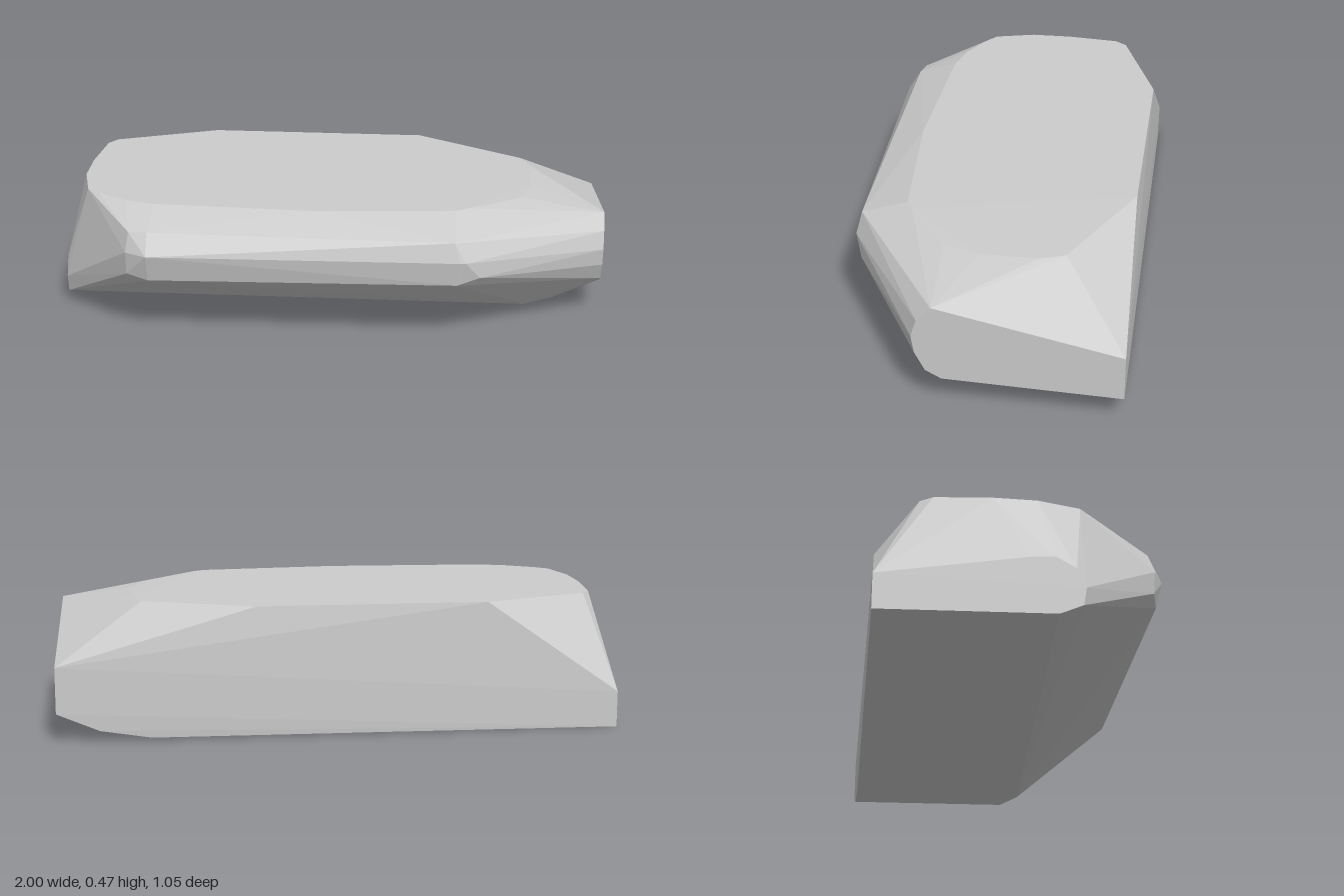
import * as THREE from 'three';
import { ConvexGeometry } from 'three/addons/geometries/ConvexGeometry.js';

export function createModel() {
  const group = new THREE.Group();
  group.name = 'facetedBlock';
  const grey = new THREE.MeshStandardMaterial({ color: 0xcccccc });
  grey.name = 'grey';

  const points = [];
  const add = (list, place) => list.forEach((p) => points.push(new THREE.Vector3(...place(p))));

  // tapered right end, outline as [z, y]
  add([[0.12, 0.405], [0.17, 0.35], [0.19, 0.285], [0.18, 0.22], [0.145, 0.15],
    [0.09, 0.12], [-0.525, 0.105], [-0.525, 0.27]], ([z, y]) => [1, y, z]);

  // lower left end, outline as [z, y]
  add([[-0.495, 0], [-0.495, 0.13], [0.02, 0.215], [0.1, 0.22], [0.17, 0.18],
    [0.2, 0.11], [0.19, 0.045], [0.11, 0.01]], ([z, y]) => [-1, y, z]);

  // flat top outline as [x, z]
  add([[-0.93, -0.3], [-0.9, -0.345], [-0.52, -0.49], [0.3, -0.495], [0.5, 0.28],
    [0.46, 0.305], [-0.05, 0.35], [-0.63, 0.33], [-0.74, 0.3], [-0.85, 0.24],
    [-0.9, 0.2], [-0.94, 0.05], [-0.945, -0.1]], ([x, z]) => [x, 0.466, z]);

  // dropped right rim of the top, as [x, z]
  add([[0.7, -0.29], [0.735, -0.2], [0.735, 0], [0.7, 0.13]], ([x, z]) => [x, 0.456, z]);

  // rounded front nose as [x, y, z]
  add([[-0.63, 0.34, 0.525], [-0.71, 0.34, 0.487], [-0.63, 0.415, 0.478], [-0.7, 0.41, 0.465],
    [-0.63, 0.24, 0.5], [-0.71, 0.255, 0.48], [0.48, 0.34, 0.49], [0.5, 0.34, 0.487],
    [0.46, 0.41, 0.472], [0.47, 0.25, 0.477], [0.55, 0.275, 0.46]], (p) => p);

  // underside, rising towards the right end, as [x, y, z]
  add([[0.67, 0.01, -0.515], [0.85, 0.04, -0.52], [0.7, 0.015, 0.06],
    [0.83, 0.04, 0.09], [0.72, 0.035, 0.15]], (p) => p);

  const body = new THREE.Mesh(new ConvexGeometry(points), grey);
  body.name = 'body';
  group.add(body);
  return group;
}
